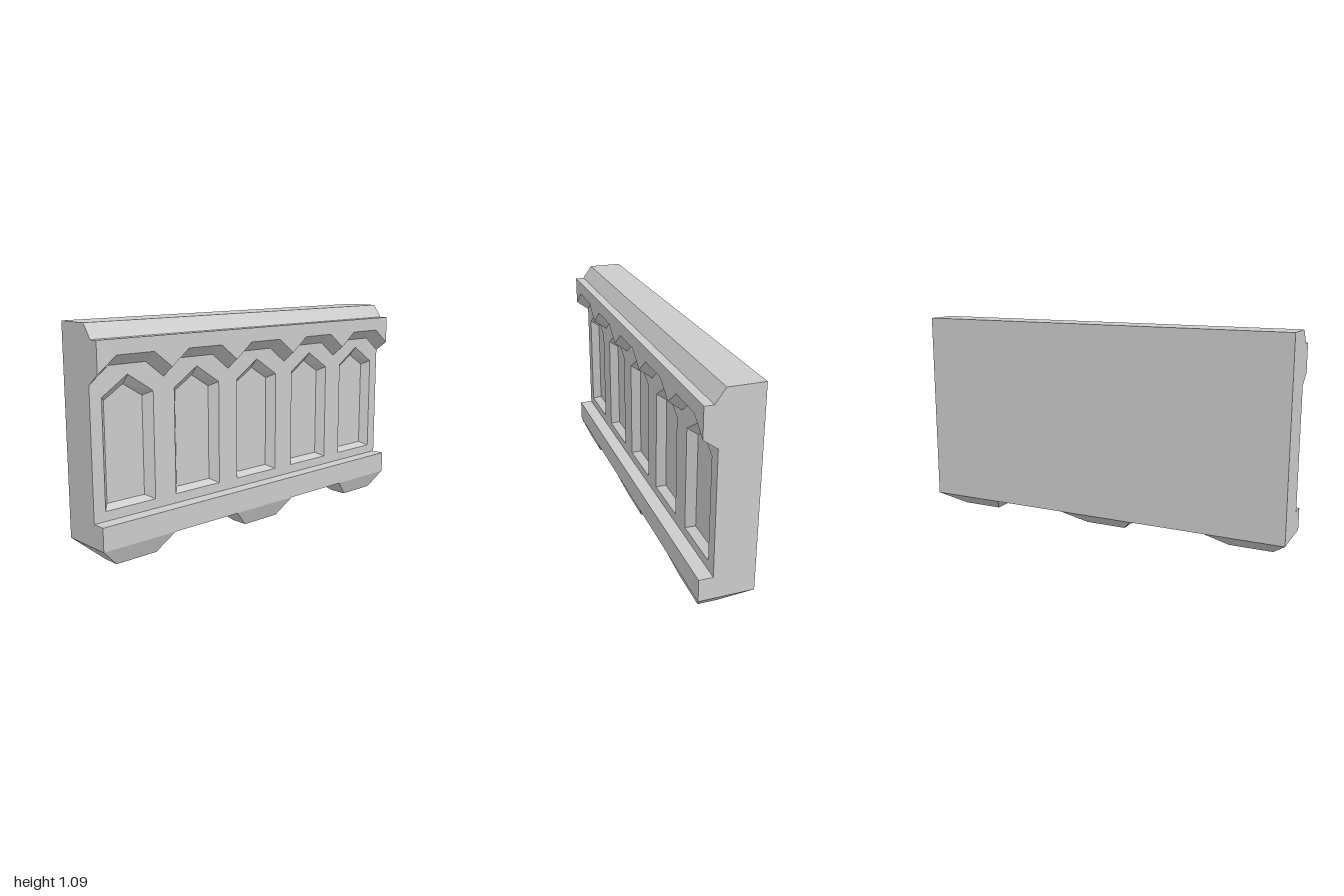
import * as THREE from 'three';
import { ConvexGeometry } from 'three/addons/geometries/ConvexGeometry.js';

const BACK = -0.135, WALL = 0.066, FRONT = 0.134; // depth planes
const BASE_Y = 0.087, LEDGE_Y = 0.2, TOP_Y = 1.085, TRIM_Y = 1.017;
const NICHE_DEPTH = 0.04;
const bays = [-0.8, -0.4, 0, 0.4, 0.8];

const material = new THREE.MeshStandardMaterial({ color: 0xcccccc, flatShading: true });

function addMesh(parent, name, geometry) {
  const mesh = new THREE.Mesh(geometry, material);
  mesh.name = name;
  parent.add(mesh);
  return mesh;
}

// Quads joining two matching rows of [x, y, z] points
function loft(a, b, closed = false) {
  const position = [];
  const count = closed ? a.length : a.length - 1;
  for (let i = 0; i < count; i++) {
    const j = (i + 1) % a.length;
    position.push(...a[i], ...a[j], ...b[j], ...a[i], ...b[j], ...b[i]);
  }
  const geometry = new THREE.BufferGeometry();
  geometry.setAttribute('position', new THREE.Float32BufferAttribute(position, 3));
  geometry.computeVertexNormals();
  return geometry;
}

const toShape = (points) => new THREE.Shape(points.map(([x, y]) => new THREE.Vector2(x, y)));

const atDepth = (points, z) => points.map(([x, y]) => [x, y, z]);

// Scalloped edge running left to right across all bays
function scallop(low) {
  const points = [[-1, low]];
  for (const x of bays) {
    points.push([x - 0.1, low + 0.077], [x + 0.1, low + 0.077], [x + 0.2, low]);
  }
  return points;
}

// Pointed niche outline, counter-clockwise
function nicheOutline(cx, half, bottom, shoulder, apex) {
  return [
    [cx - half, bottom], [cx + half, bottom], [cx + half, shoulder],
    [cx, apex], [cx - half, shoulder],
  ];
}

export function createModel() {
  const model = new THREE.Group();
  model.name = 'parapet';

  // Straight faces: base ledge, underside, back, top and sloped coping, as [z, y]
  const profile = [
    [WALL, LEDGE_Y], [FRONT, LEDGE_Y], [FRONT, BASE_Y], [BACK, BASE_Y],
    [BACK, TOP_Y], [0.04, TOP_Y], [0.089, TRIM_Y], [FRONT, TRIM_Y],
  ];
  const profileAt = (x) => profile.map(([z, y]) => [x, y, z]);
  addMesh(model, 'bodyShell', loft(profileAt(-1), profileAt(1)));

  // Flat ends closing the profile
  for (const side of [-1, 1]) {
    const outline = [...profile, [FRONT, 0.871], [WALL, 0.82]];
    const cap = new THREE.ShapeGeometry(toShape(outline.map(([z, y]) => [-side * z, y])));
    cap.rotateY(side * Math.PI / 2).translate(side, 0, 0);
    addMesh(model, side > 0 ? 'leftEnd' : 'rightEnd', cap);
  }

  // Overhanging frieze with a bevelled scalloped underside
  const friezeEdge = scallop(0.871);
  const wallEdge = scallop(0.82);
  const frieze = new THREE.ShapeGeometry(toShape([...friezeEdge, [1, TRIM_Y], [-1, TRIM_Y]]));
  addMesh(model, 'friezeFace', frieze.translate(0, 0, FRONT));
  addMesh(model, 'friezeUnderside', loft(atDepth(wallEdge, WALL), atDepth(friezeEdge, FRONT)));

  // Wall face pierced by five niches with splayed edges
  const wallShape = toShape([[1, LEDGE_Y], [-1, LEDGE_Y], ...wallEdge]);
  for (const cx of bays) {
    const outer = nicheOutline(cx, 0.139, 0.246, 0.76, 0.85);
    const inner = nicheOutline(cx, 0.104, 0.267, 0.738, 0.802);
    wallShape.holes.push(toShape(outer));
    const niche = new THREE.Group();
    niche.name = 'niche';
    addMesh(niche, 'nicheReveal',
      loft(atDepth(outer, WALL), atDepth(inner, WALL - NICHE_DEPTH), true));
    addMesh(niche, 'nichePanel',
      new THREE.ShapeGeometry(toShape(inner)).translate(0, 0, WALL - NICHE_DEPTH));
    model.add(niche);
  }
  addMesh(model, 'wallFace', new THREE.ShapeGeometry(wallShape).translate(0, 0, WALL));

  // Three tapered brackets below the base
  for (const cx of [-0.8, 0, 0.8]) {
    const corners = [];
    for (const s of [-1, 1]) {
      corners.push(
        new THREE.Vector3(s * 0.2, BASE_Y, FRONT), new THREE.Vector3(s * 0.2, BASE_Y, BACK),
        new THREE.Vector3(s * 0.112, 0, 0.098), new THREE.Vector3(s * 0.112, 0, 0.003),
      );
    }
    addMesh(model, 'bracket', new ConvexGeometry(corners)).position.x = cx;
  }

  return model;
}
